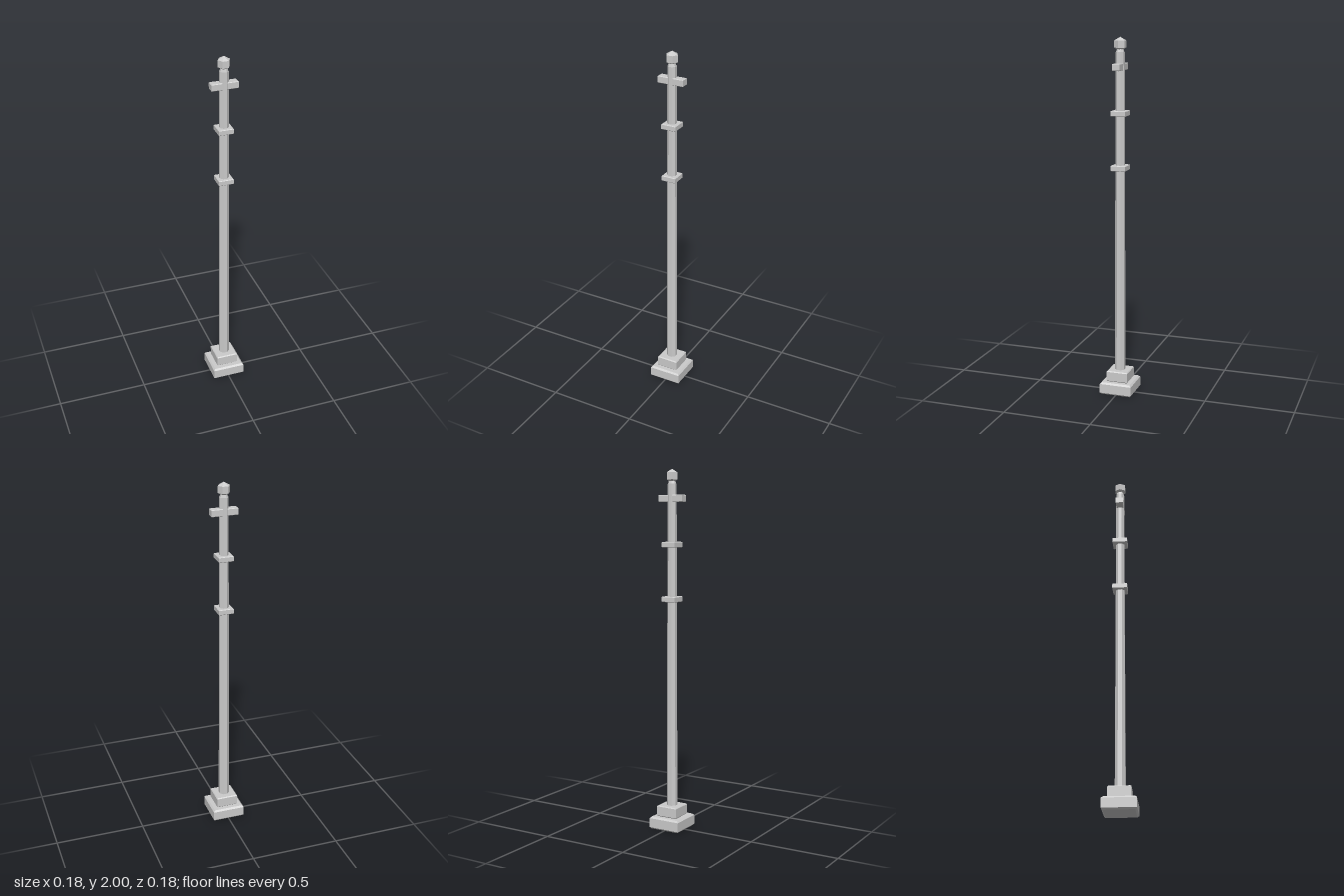
import * as THREE from 'three';

const material = new THREE.MeshStandardMaterial({ color: 0xcccccc, flatShading: true });

function add(group, name, geometry, y = 0) {
  const mesh = new THREE.Mesh(geometry, material);
  mesh.name = name;
  mesh.position.y = y;
  group.add(mesh);
  return mesh;
}

// Block with mitred bevels around its top and bottom, standing on y = 0
function bevelledBlock(width, height, depth, bevel) {
  const x = width / 2 - bevel, z = depth / 2 - bevel;
  const shape = new THREE.Shape([
    new THREE.Vector2(-x, -z), new THREE.Vector2(x, -z),
    new THREE.Vector2(x, z), new THREE.Vector2(-x, z),
  ]);
  const geometry = new THREE.ExtrudeGeometry(shape, {
    depth: height - 2 * bevel, bevelEnabled: true, bevelSegments: 1,
    bevelSize: bevel, bevelThickness: bevel,
  });
  geometry.translate(0, 0, bevel);
  geometry.rotateX(-Math.PI / 2);
  return geometry;
}

// Octagonal section with flats to the front; radii are measured to the flats
function octagon(top, bottom, height) {
  const k = 1 / Math.cos(Math.PI / 8);
  const geometry = new THREE.CylinderGeometry(top * k, bottom * k, height, 8);
  geometry.rotateY(Math.PI / 8);
  geometry.translate(0, height / 2, 0);
  return geometry;
}

export function createModel() {
  const post = new THREE.Group();
  post.name = 'post';

  // Stepped plinth
  add(post, 'plinthLower', bevelledBlock(0.184, 0.07, 0.184, 0.009));
  add(post, 'plinthUpper', bevelledBlock(0.124, 0.062, 0.124, 0.005), 0.07);

  // Tapering shaft
  add(post, 'shaft', octagon(0.023, 0.028, 1.79), 0.13);

  // Square collars
  for (const y of [1.28, 1.578]) {
    add(post, 'collar', bevelledBlock(0.084, 0.03, 0.084, 0.003), y);
  }

  // Crossarm
  add(post, 'crossarm', bevelledBlock(0.148, 0.038, 0.042, 0.003), 1.823);

  // Neck and faceted finial
  add(post, 'neck', octagon(0.014, 0.021, 0.025), 1.92);
  add(post, 'finial', new THREE.SphereGeometry(0.038, 6, 3), 1.962);

  return post;
}
